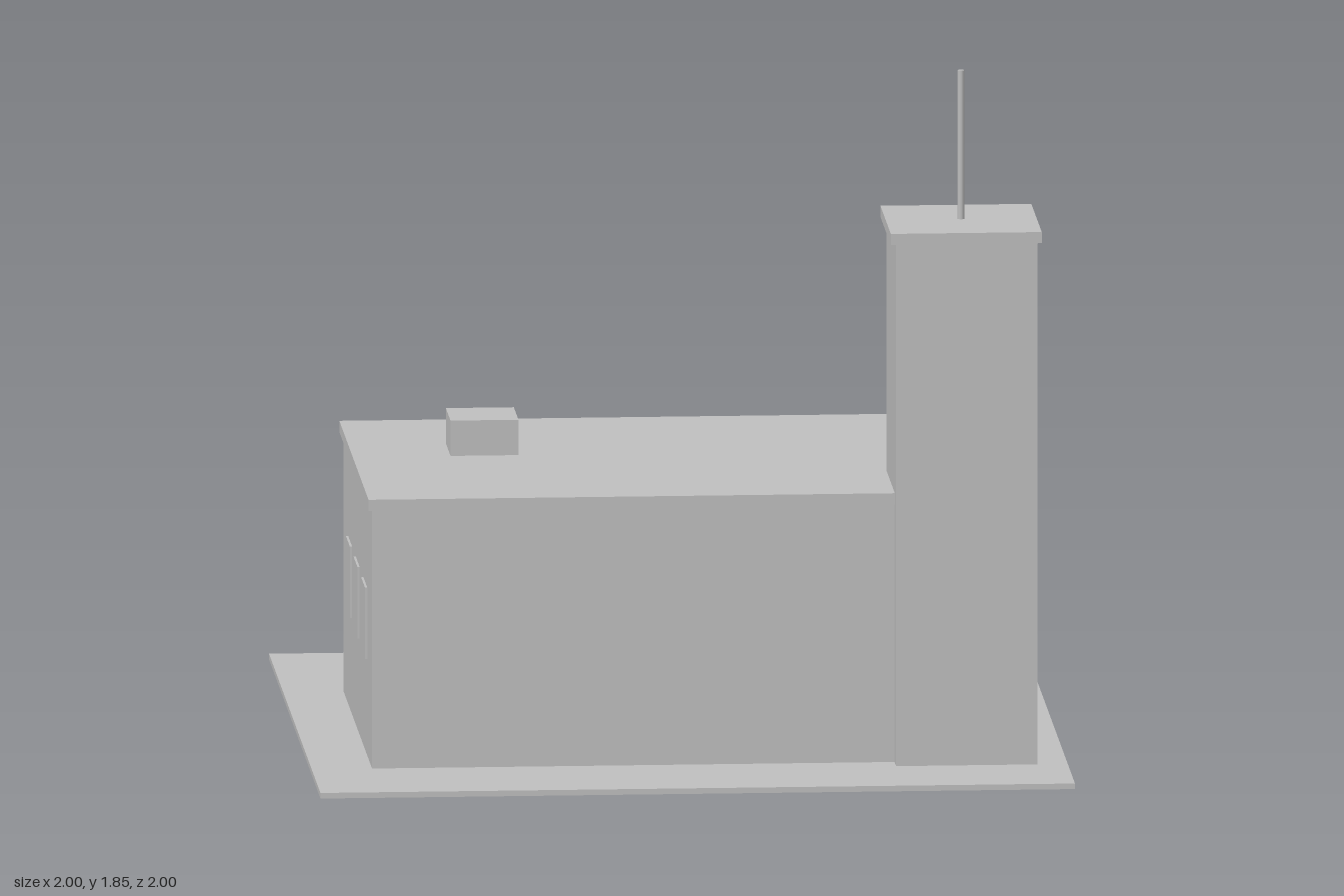
import * as THREE from 'three';

export function createModel() {
  const model = new THREE.Group();
  model.name = 'towerStation';
  const grey = new THREE.MeshStandardMaterial({ color: 0xbfbfbf });
  grey.name = 'plain grey';

  // Box given by its min and max along each axis
  function box(name, [x0, x1], [y0, y1], [z0, z1]) {
    const mesh = new THREE.Mesh(new THREE.BoxGeometry(x1 - x0, y1 - y0, z1 - z0), grey);
    mesh.position.set((x0 + x1) / 2, (y0 + y1) / 2, (z0 + z1) / 2);
    mesh.name = name;
    model.add(mesh);
    return mesh;
  }

  // Ground slab and main hall
  box('groundSlab', [-1, 1], [0, 0.015], [-1, 1]);
  box('hall', [-0.84, 0.84], [0.015, 0.71], [-0.45, 0.66]);
  box('hallRoof', [-0.85, 0.85], [0.71, 0.74], [-0.465, 0.67]);
  box('roofUnit', [-0.6, -0.42], [0.765, 0.86], [0.01, 0.19]);

  // Corner tower with cap, opening and mast
  box('tower', [0.545, 0.92], [0.015, 1.42], [0.345, 0.72]);
  box('towerCap', [0.53, 0.93], [1.42, 1.45], [0.33, 0.735]);
  box('towerOpening', [0.62, 0.84], [1.07, 1.37], [0.332, 0.346]);
  const mast = new THREE.Mesh(new THREE.CylinderGeometry(0.009, 0.009, 0.4, 8), grey);
  mast.position.set(0.73, 1.65, 0.53);
  mast.name = 'mast';
  model.add(mast);

  // Three vehicle doors with lintels under a long sign band
  for (const x of [-0.51, 0, 0.51]) {
    box('door', [x - 0.195, x + 0.195], [0.03, 0.485], [-0.468, -0.449]);
    box('doorLintel', [x - 0.215, x + 0.215], [0.485, 0.515], [-0.472, -0.457]);
  }
  box('signBand', [-0.76, 0.76], [0.6, 0.7], [-0.472, -0.457]);

  // Three windows on each side wall
  for (const side of [-1, 1]) {
    for (const z of [-0.19, 0.105, 0.4]) {
      const pane = box('sideWindow', [-0.004, 0.004], [0.275, 0.467], [z - 0.075, z + 0.075]);
      pane.position.x = side * 0.842;
    }
  }
  return model;
}
